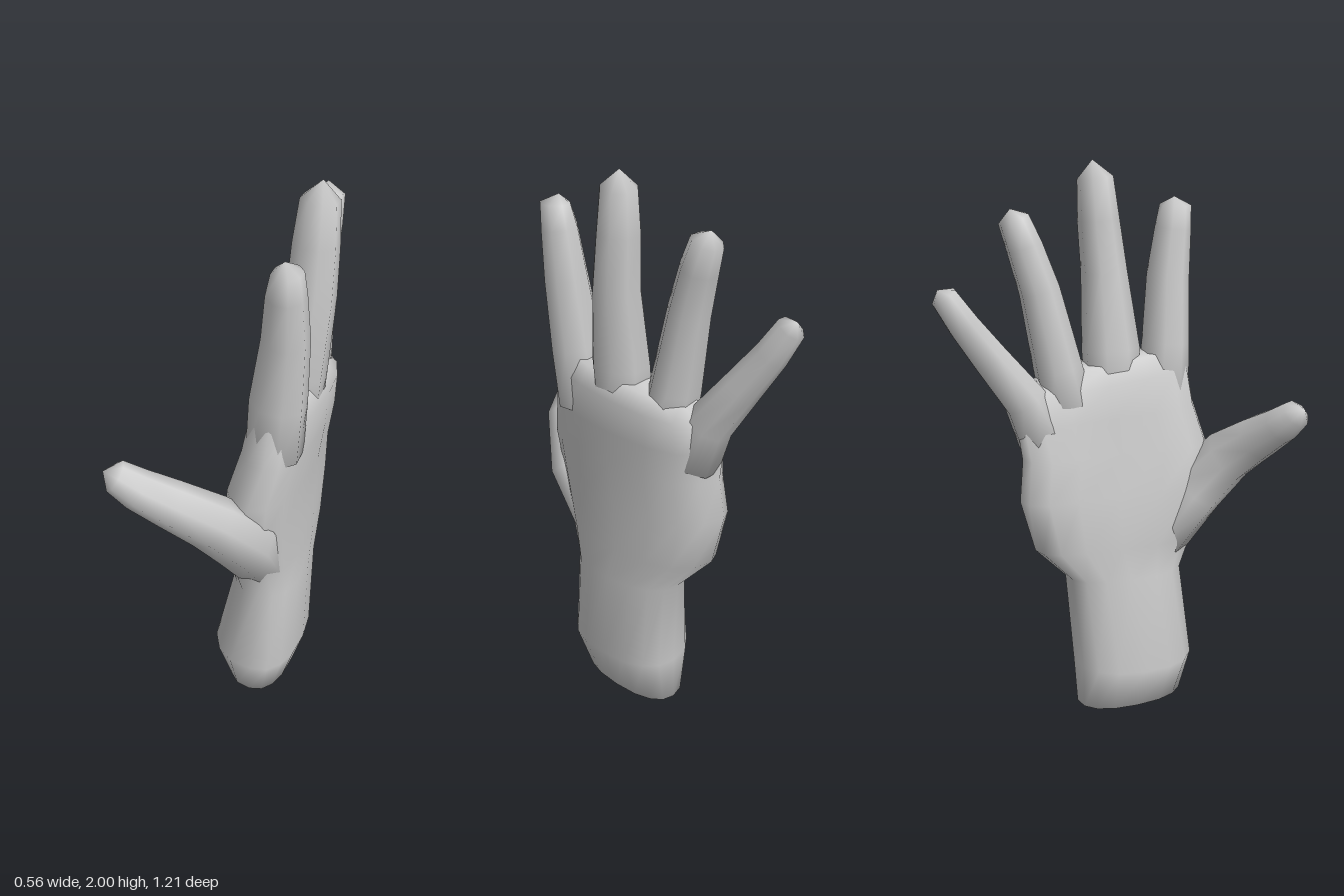
import * as THREE from 'three';

const material = new THREE.MeshStandardMaterial({ color: 0xcccccc });

// Skin closed rings of equal length, with a pole point at each end
function loft(name, rings, startPole, endPole) {
  const n = rings[0].length;
  const points = [...rings.flat(), startPole, endPole];
  const index = [];
  const start = rings.length * n, end = start + 1;
  for (let j = 0; j < n; j++) {
    const k = (j + 1) % n;
    for (let i = 0; i < rings.length - 1; i++) {
      const a = i * n + j, b = i * n + k;
      index.push(a, b, b + n, a, b + n, a + n);
    }
    const top = (rings.length - 1) * n;
    index.push(start, k, j, end, top + j, top + k);
  }
  const geometry = new THREE.BufferGeometry().setFromPoints(points);
  geometry.setIndex(index);
  geometry.computeVertexNormals();
  const mesh = new THREE.Mesh(geometry, material);
  mesh.name = name;
  return mesh;
}

// Flattened section of the wrist and palm: back/front edges, dorsal and palm depth
function palmRing([y, zBack, zFront, xBack, xFront, xDorsal, xPalm, hollow, tilt]) {
  const ring = [];
  for (let j = 0; j < 16; j++) {
    const a = (j / 16) * Math.PI * 2;
    const c = Math.sign(Math.cos(a)) * Math.abs(Math.cos(a)) ** 0.85;
    const s = Math.sign(Math.sin(a)) * Math.abs(Math.sin(a)) ** 0.85;
    const z = (zBack + zFront) / 2 + ((zFront - zBack) / 2) * c;
    const edge = xBack + (xFront - xBack) * (c + 1) / 2;
    let x = edge + (s > 0 ? xDorsal - edge : edge - xPalm) * s;
    if (s < 0) x += hollow * Math.abs(s) ** 8;
    ring.push(new THREE.Vector3(x, y + tilt * z, z));
  }
  return ring;
}

// Finger from stations [x, y, z, radius across the hand, radius through the hand]
function finger(name, stations, tip) {
  const centres = stations.map(([x, y, z]) => new THREE.Vector3(x, y, z));
  const end = new THREE.Vector3(...tip);
  const path = [...centres, end];
  const rings = stations.map(([, , , across, deep], i) => {
    const d = path[i + 1].clone().sub(path[Math.max(i - 1, 0)]).normalize();
    const u = new THREE.Vector3(1, 0, 0).cross(d).normalize();
    const v = d.clone().cross(u);
    return Array.from({ length: 8 }, (_, j) => {
      const a = ((j + 0.5) / 8) * Math.PI * 2;
      return centres[i].clone()
        .addScaledVector(u, Math.cos(a) * across * 1.05)
        .addScaledVector(v, Math.sin(a) * deep * 1.05);
    });
  });
  return loft(name, rings, centres[0], end);
}

export function createModel() {
  const hand = new THREE.Group();
  hand.name = 'hand';

  // Wrist and palm
  const sections = [
    [0.02, -0.13, 0.27, 0.1, 0.1, 0.2, -0.02, 0, 0.05],
    [0.19, -0.14, 0.31, 0.11, 0.12, 0.25, -0.075, 0, 0],
    [0.53, -0.165, 0.275, 0.12, 0.13, 0.25, 0.0, 0, 0],
    [0.66, -0.285, 0.315, 0.08, 0.12, 0.25, -0.03, 0.02, 0],
    [0.85, -0.335, 0.36, 0.08, 0.11, 0.255, -0.03, 0.05, 0],
    [1.0, -0.32, 0.375, 0.09, 0.13, 0.262, -0.01, 0.05, 0],
    [1.13, -0.335, 0.335, 0.09, 0.17, 0.275, 0.03, 0.03, 0.05],
    [1.25, -0.325, 0.315, 0.11, 0.18, 0.28, 0.06, 0.01, 0.1],
    [1.31, -0.25, 0.27, 0.13, 0.18, 0.25, 0.11, 0, 0.13],
  ];
  hand.add(loft('wristAndPalm', sections.map(palmRing),
    new THREE.Vector3(0.09, 0.0, 0.05), new THREE.Vector3(0.18, 1.32, 0.02)));

  // Four fingers
  hand.add(finger('indexFinger', [
    [0.17, 1.15, 0.22, 0.09, 0.09],
    [0.185, 1.36, 0.235, 0.08, 0.09],
    [0.21, 1.6, 0.25, 0.072, 0.073],
    [0.215, 1.76, 0.268, 0.061, 0.06],
    [0.22, 1.84, 0.278, 0.054, 0.047],
  ], [0.21, 1.87, 0.27]));
  hand.add(finger('middleFinger', [
    [0.17, 1.15, 0.03, 0.09, 0.09],
    [0.185, 1.35, 0.03, 0.1, 0.09],
    [0.215, 1.62, 0.015, 0.078, 0.078],
    [0.22, 1.8, -0.003, 0.07, 0.072],
    [0.225, 1.94, -0.012, 0.06, 0.06],
  ], [0.23, 2.0, -0.02]));
  hand.add(finger('ringFinger', [
    [0.15, 1.12, -0.13, 0.09, 0.09],
    [0.145, 1.31, -0.175, 0.082, 0.088],
    [0.15, 1.58, -0.233, 0.068, 0.07],
    [0.16, 1.73, -0.28, 0.06, 0.062],
    [0.165, 1.82, -0.313, 0.052, 0.052],
  ], [0.16, 1.855, -0.325]));
  hand.add(finger('littleFinger', [
    [0.125, 1.06, -0.235, 0.09, 0.08],
    [0.12, 1.21, -0.3, 0.075, 0.08],
    [0.105, 1.37, -0.42, 0.062, 0.062],
    [0.085, 1.49, -0.506, 0.053, 0.05],
    [0.08, 1.59, -0.57, 0.045, 0.042],
  ], [0.08, 1.615, -0.59]));

  // Thumb, swinging forward out of the palm
  hand.add(finger('thumb', [
    [0.11, 0.64, 0.2, 0.09, 0.1],
    [0.09, 0.83, 0.325, 0.1, 0.12],
    [0.02, 0.97, 0.425, 0.09, 0.105],
    [-0.09, 1.06, 0.485, 0.078, 0.08],
    [-0.18, 1.13, 0.53, 0.066, 0.062],
    [-0.24, 1.185, 0.556, 0.053, 0.046],
  ], [-0.272, 1.207, 0.572]));

  return hand;
}
